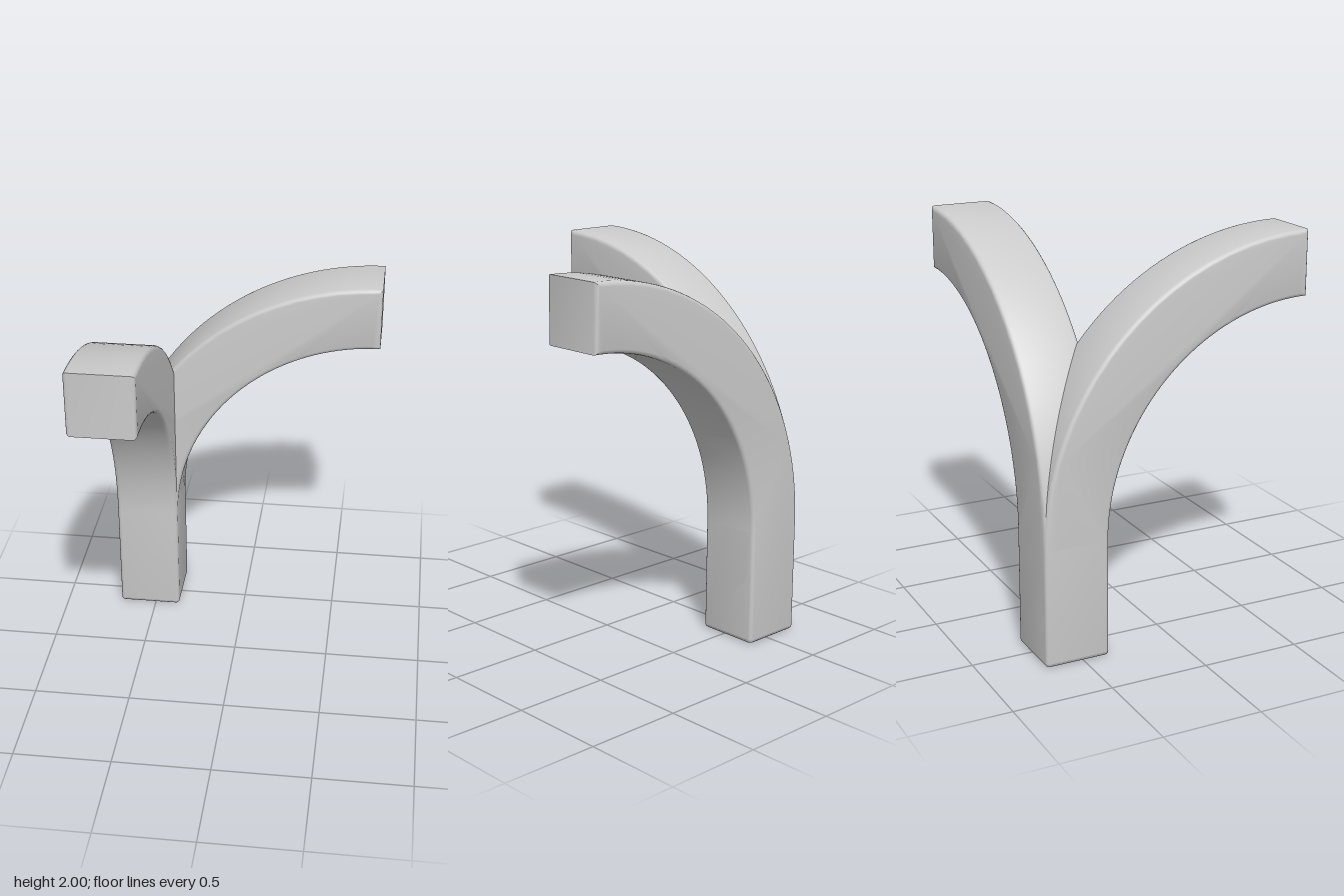
import * as THREE from 'three';
import { toCreasedNormals } from 'three/addons/utils/BufferGeometryUtils.js';

const OUTER = -0.697, INNER = -0.364;   // faces of the square post
const SPRING = 0.6;                     // height where the arms start to curve
const TIP = 0.7;                        // reach of each arm
const EDGE = 0.02;                      // rounded edge

// Side profile of the post sweeping out into one arm, in the x-y plane
function bracketProfile() {
  const r = 0.025;
  const s = new THREE.Shape();
  s.moveTo(OUTER + r, 0);
  s.lineTo(INNER - r, 0);
  s.quadraticCurveTo(INNER, 0, INNER, r);
  s.lineTo(INNER, SPRING);
  s.absellipse(TIP, SPRING, TIP - INNER, 1.073, Math.PI, Math.PI / 2, true);
  s.lineTo(TIP, 2);
  s.absellipse(TIP, SPRING, TIP - OUTER, 1.4, Math.PI / 2, Math.PI, false);
  s.lineTo(OUTER, r);
  s.quadraticCurveTo(OUTER, 0, OUTER + r, 0);
  return s;
}

export function createModel() {
  const group = new THREE.Group();
  group.name = 'forkedBracket';
  const material = new THREE.MeshStandardMaterial({ color: 0xcccccc });

  // Bar of square section, centred on its own width
  const width = INNER - OUTER;
  const bar = new THREE.ExtrudeGeometry(bracketProfile(), {
    depth: width - 2 * EDGE, curveSegments: 20,
    bevelThickness: EDGE, bevelSize: EDGE, bevelOffset: -EDGE, bevelSegments: 3,
  });
  bar.translate(0, 0, -width / 2 + EDGE);
  const geometry = toCreasedNormals(bar, 0.75);

  // Two bars share the post and part at right angles
  const middle = (OUTER + INNER) / 2;
  const sideArm = new THREE.Mesh(geometry, material);
  sideArm.name = 'postWithSideArm';
  sideArm.position.z = middle;

  const frontArm = new THREE.Mesh(geometry, material);
  frontArm.name = 'postWithFrontArm';
  frontArm.rotation.y = -Math.PI / 2;
  frontArm.position.x = middle;

  group.add(sideArm, frontArm);
  return group;
}
